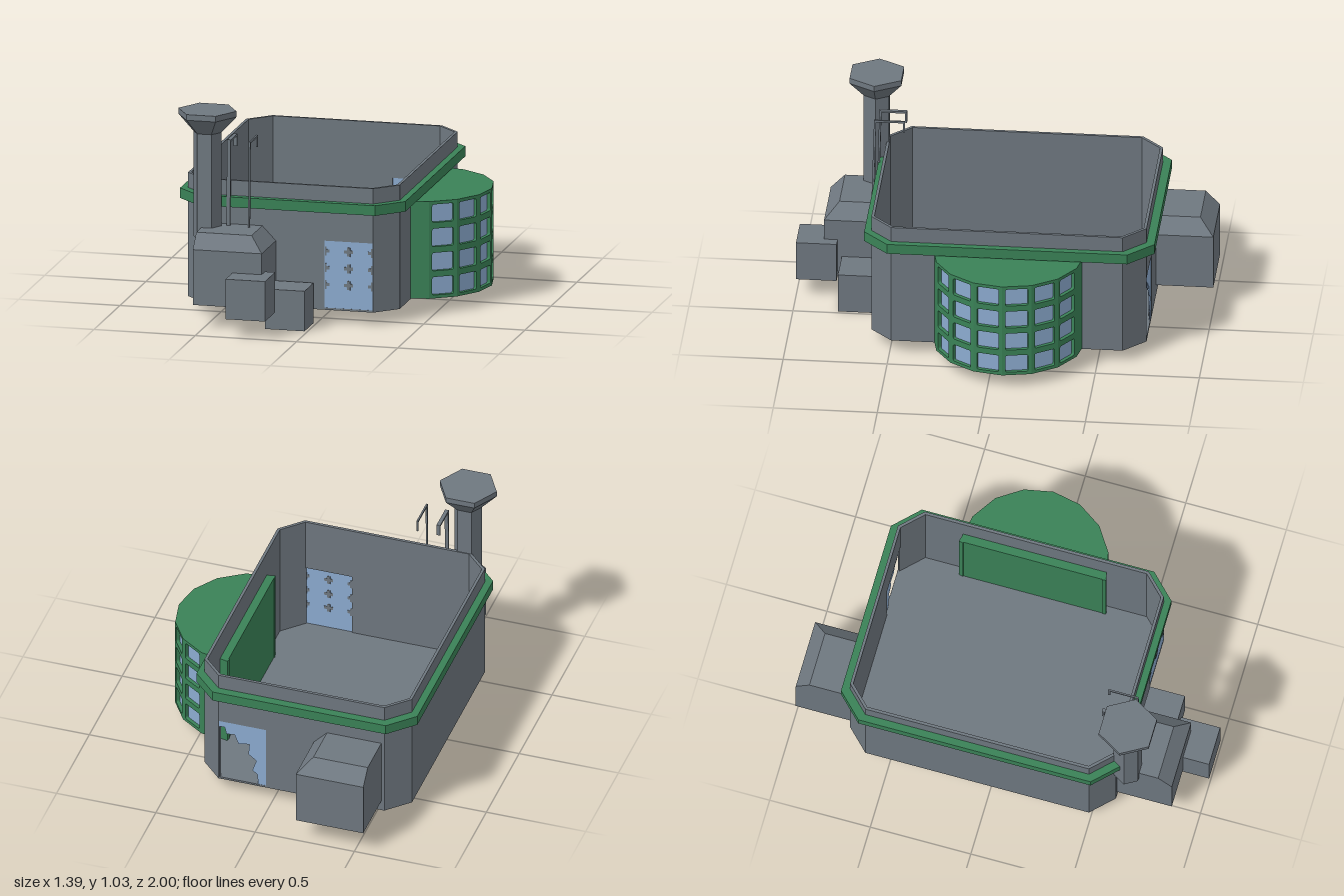
import * as THREE from 'three';

const mat = (name, color) => {
  const m = new THREE.MeshStandardMaterial({ color });
  m.name = name;
  return m;
};

export function createModel() {
  const root = new THREE.Group();
  const grey = mat('wall grey', 0x6f7880);
  const green = mat('trim green', 0x3a8257);
  const blue = mat('glass blue', 0x8cabd0);

  const add = (name, geo, material, parent = root) => {
    const mesh = new THREE.Mesh(geo, material);
    mesh.name = name;
    parent.add(mesh);
    return mesh;
  };
  const group = (name) => {
    const g = new THREE.Group();
    g.name = name;
    root.add(g);
    return g;
  };
  const poly = (pts) => new THREE.Shape(pts.map(([x, y]) => new THREE.Vector2(x, y)));
  const rect = (x0, x1, y0, y1) => poly([[x0, y0], [x1, y0], [x1, y1], [x0, y1]]);
  const extrude = (shape, depth) =>
    new THREE.ExtrudeGeometry(shape, { depth, bevelEnabled: false, curveSegments: 3 });

  // Horizontal plate from a plan outline of [x, z] points
  const slab = (outline, y0, y1, hole) => {
    const shape = poly(outline.map(([x, z]) => [x, -z]));
    if (hole) shape.holes.push(poly(hole.map(([x, z]) => [x, -z])));
    return extrude(shape, y1 - y0).rotateX(-Math.PI / 2).translate(0, y0, 0);
  };
  // Rectangle with chamfered corners, first edge along the front
  const octagon = (x0, x1, z0, z1, c) => [
    [x0 + c, z1], [x1 - c, z1], [x1, z1 - c], [x1, z0 + c],
    [x1 - c, z0], [x0 + c, z0], [x0, z0 + c], [x0, z1 - c]];
  // Stands a geometry drawn along u (edge) and v (height) on the edge a to b
  const stand = (geo, a, b) =>
    geo.rotateY(Math.atan2(a[1] - b[1], b[0] - a[0])).translate(a[0], 0, a[1]);
  const edgeLength = (a, b) => Math.hypot(b[0] - a[0], b[1] - a[1]);

  // Open-topped building shell with a doorway at the front and back
  const shell = group('shell');
  const hull = octagon(-0.665, 0.38, -0.725, 0.597, 0.105);
  const doorHoles = { 0: [0.595, 0.833], 4: [0.003, 0.24] };
  hull.forEach((a, i) => {
    const b = hull[(i + 1) % 8];
    const wall = rect(0, edgeLength(a, b), 0.065, 0.675);
    const h = doorHoles[i];
    if (h) wall.holes.push(rect(h[0], h[1], 0.067, 0.405));
    add('wall', stand(extrude(wall, 0.014).translate(0, 0, -0.014), a, b), grey, shell);
  });
  add('floor', slab(octagon(-0.664, 0.379, -0.724, 0.596, 0.105), 0.065, 0.075), grey, shell);
  add('cornice', slab(octagon(-0.7, 0.412, -0.765, 0.63, 0.12), 0.55, 0.6, hull), green);

  // Front glazing with cross-shaped fittings at the pane corners
  const frontGlass = group('frontGlass');
  add('glass', stand(extrude(rect(0.595, 0.833, 0.067, 0.405), 0.006).translate(0, 0, -0.008),
    hull[0], hull[1]), blue, frontGlass);
  const s = 0.022, t = 0.008;
  const clip = (u, v, side) => {
    const r = side > 0 ? 0 : s, l = side < 0 ? 0 : s;
    const rt = Math.min(r, t), lt = Math.min(l, t);
    return poly([[u - l, v - t], [u - lt, v - t], [u - lt, v - s], [u + rt, v - s], [u + rt, v - t],
      [u + r, v - t], [u + r, v + t], [u + rt, v + t], [u + rt, v + s], [u - lt, v + s],
      [u - lt, v + t], [u - l, v + t]]);
  };
  [[0.597, -1], [0.714, 0], [0.832, 1]].forEach(([u, side]) => {
    for (const v of [0.19, 0.272, 0.355]) {
      add('glassClip', stand(extrude(clip(u, v, side), 0.0095).translate(0, 0, -0.0098),
        hull[0], hull[1]), grey, frontGlass);
    }
  });

  // Broken glazing left in the back doorway
  const shards = poly([[0.003, 0.405], [0.003, 0.37], [0.03, 0.375], [0.04, 0.335], [0.08, 0.34],
    [0.1, 0.29], [0.155, 0.3], [0.15, 0.24], [0.19, 0.21], [0.17, 0.15], [0.195, 0.13],
    [0.2, 0.067], [0.24, 0.067], [0.24, 0.405]]);
  add('brokenBackGlass', stand(extrude(shards, 0.006).translate(0, 0, -0.008), hull[4], hull[5]), blue);

  // Half-round bay with a grid of recessed windows
  const bay = group('bay');
  const arc = [];
  for (let i = 0; i <= 8; i++) {
    const a = Math.PI / 2 - (i * Math.PI) / 8;
    arc.push([0.326 + 0.365 * Math.cos(a), -0.07 + 0.365 * Math.sin(a)]);
  }
  const roundedRect = (x0, x1, y0, y1, r) => {
    const p = new THREE.Shape();
    p.moveTo(x0 + r, y0);
    p.lineTo(x1 - r, y0).quadraticCurveTo(x1, y0, x1, y0 + r);
    p.lineTo(x1, y1 - r).quadraticCurveTo(x1, y1, x1 - r, y1);
    p.lineTo(x0 + r, y1).quadraticCurveTo(x0, y1, x0, y1 - r);
    p.lineTo(x0, y0 + r).quadraticCurveTo(x0, y0, x0 + r, y0);
    return p;
  };
  for (let i = 0; i < 8; i++) {
    const a = arc[i], b = arc[i + 1], w = edgeLength(a, b);
    const frame = rect(0, w, 0.067, 0.545);
    if (i > 0 && i < 7) {
      for (let row = 0; row < 4; row++) {
        const y = 0.083 + row * 0.119;
        frame.holes.push(roundedRect(0.017, w - 0.017, y, y + 0.089, 0.01));
      }
      const pane = new THREE.PlaneGeometry(w - 0.02, 0.46).translate(w / 2, 0.306, -0.018);
      add('bayGlass', stand(pane, a, b), blue, bay);
    }
    add('bayFrame', stand(extrude(frame, 0.02).translate(0, 0, -0.02), a, b), green, bay);
  }
  add('bayRoof', slab(arc, 0.535, 0.545), green, bay);
  add('bayFloor', slab(arc, 0.067, 0.077), green, bay);
  add('bayInnerWall', new THREE.BoxGeometry(0.01, 0.478, 0.73).translate(0.331, 0.306, -0.07), green, bay);

  // Hexagonal chimney with a flared head
  const chimney = group('chimney');
  const hex = (name, rTop, rBottom, y0, y1) => {
    const g = new THREE.CylinderGeometry(rTop, rBottom, y1 - y0, 6).rotateY(Math.PI / 2).toNonIndexed();
    g.computeVertexNormals();
    add(name, g.translate(-0.53, (y0 + y1) / 2, 0.647), grey, chimney);
  };
  hex('shaft', 0.07, 0.07, 0.403, 0.92);
  hex('flare', 0.1435, 0.07, 0.92, 1.0);
  hex('cap', 0.1435, 0.1435, 1.0, 1.028);

  // Machine housings, sloped at the top on the outer and left sides
  const housing = (name, zInner, zOuter) => {
    const depth = Math.abs(zOuter - zInner), dir = Math.sign(zOuter - zInner);
    const g = new THREE.BoxGeometry(0.34, 2, depth, 1, 2, 1).toNonIndexed();
    const p = g.attributes.position;
    for (let i = 0; i < p.count; i++) {
      const y = p.getY(i);
      if (y > 0.5) {
        if (p.getX(i) > 0) p.setX(i, p.getX(i) - 0.067);
        if (p.getZ(i) * dir > 0) p.setZ(i, p.getZ(i) - dir * 0.068);
      }
      p.setY(i, y > 0.5 ? 0.46 : y > -0.5 ? 0.39 : 0.118);
    }
    g.computeVertexNormals();
    add(name, g.translate(-0.375, 0, (zInner + zOuter) / 2), grey);
  };
  housing('frontHousing', 0.59, 0.87);
  housing('backHousing', -0.715, -1.0);

  // Loose crates
  const crate = (x, y, z, d) =>
    add('crate', new THREE.BoxGeometry(0.195, 0.197, d).translate(x, y, z), grey);
  crate(-0.2525, 0.1885, 0.9025, 0.195);
  crate(-0.1125, 0.0985, 0.6975, 0.175);

  // Hooked pipes rising from the front housing
  const hookPipe = (x, w, z0) => {
    const pipe = group('hookedPipe');
    const path = [[z0, 0.45], [z0 - 0.012, 0.875], [0.497, 0.875], [0.497, 0.825]];
    for (let i = 0; i < 3; i++) {
      const [za, ya] = path[i], [zb, yb] = path[i + 1];
      const g = new THREE.BoxGeometry(w, 0.01, Math.hypot(zb - za, yb - ya) + 0.008);
      g.rotateX(-Math.atan2(yb - ya, zb - za));
      add('pipe', g.translate(x, (ya + yb) / 2, (za + zb) / 2), grey, pipe);
    }
  };
  hookPipe(-0.43, 0.018, 0.632);
  hookPipe(-0.324, 0.008, 0.648);

  return root;
}
